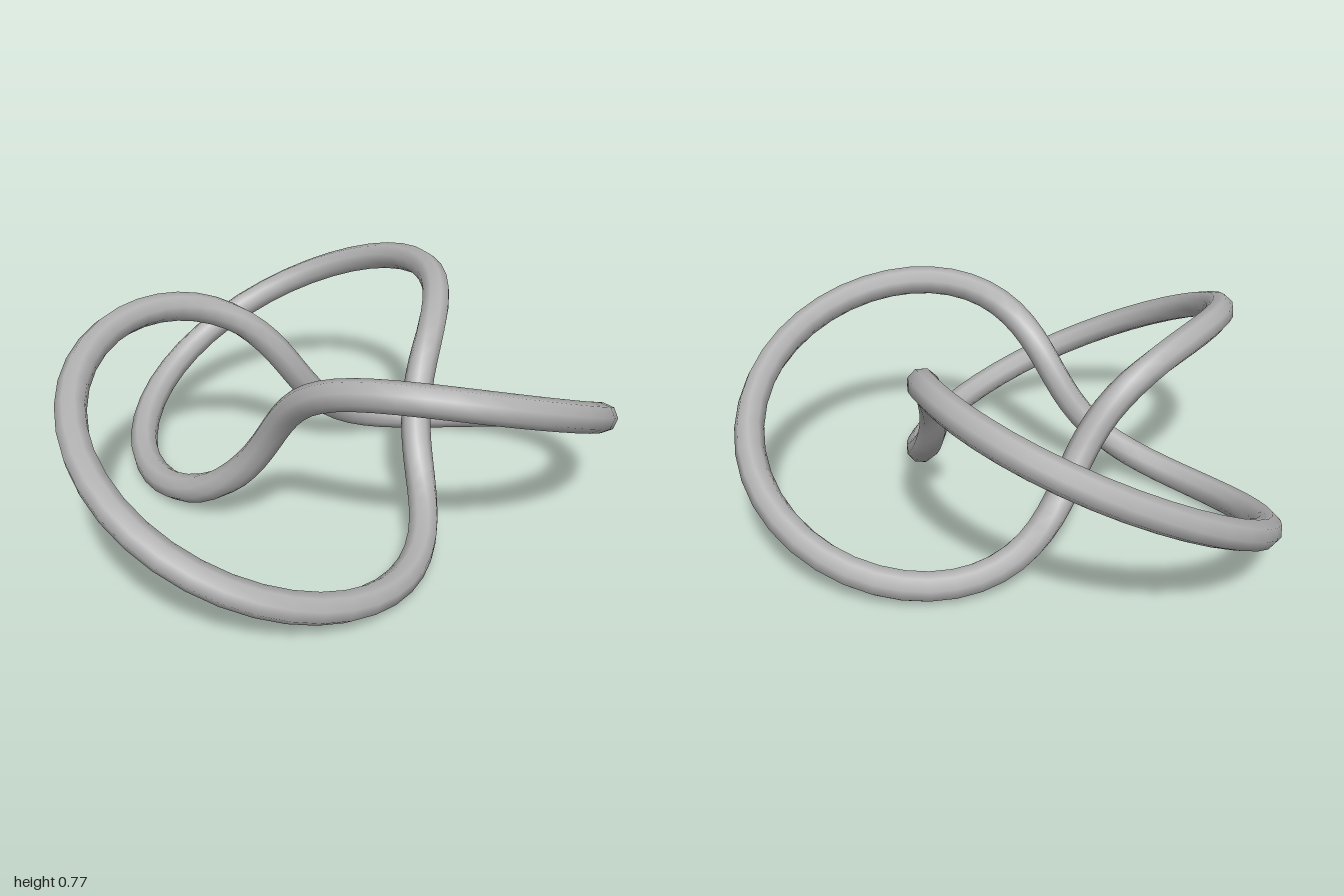
import * as THREE from 'three';

export function createModel() {
  const grey = new THREE.MeshStandardMaterial({ color: 0xb0b0b0 });
  grey.name = 'grey';

  // Trefoil knot: the negative winding sets its handedness
  const R = 0.669, tube = 0.08 * R;
  const geometry = new THREE.TorusKnotGeometry(R, tube, 128, 8, 2, -3);
  geometry.rotateX(-Math.PI / 2); // lay it flat

  // Centre on x and z, rest on the ground
  geometry.computeBoundingBox();
  const { min, max } = geometry.boundingBox;
  geometry.translate(-(min.x + max.x) / 2, -min.y, -(min.z + max.z) / 2);

  const knot = new THREE.Mesh(geometry, grey);
  knot.name = 'trefoilKnot';

  const model = new THREE.Group();
  model.name = 'knot';
  model.add(knot);
  return model;
}
